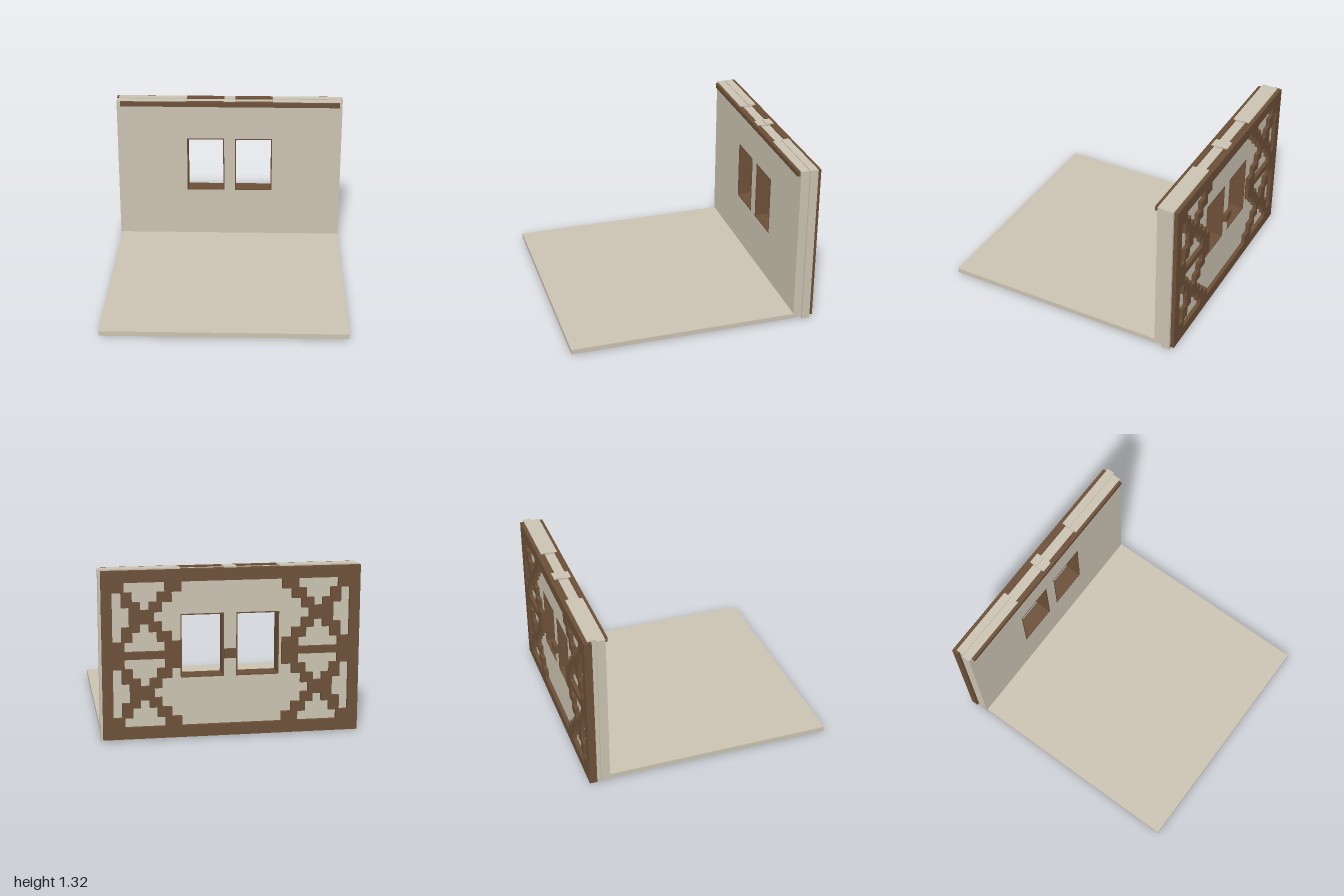
import * as THREE from 'three';

export function createModel() {
  const model = new THREE.Group();
  const plaster = new THREE.MeshStandardMaterial({ color: 0xcac2b1 });
  plaster.name = 'plaster';
  const wood = new THREE.MeshStandardMaterial({ color: 0x6b4f37 });
  wood.name = 'wood';

  const add = (name, geometry, material) => {
    const mesh = new THREE.Mesh(geometry, material);
    mesh.name = name;
    model.add(mesh);
    return mesh;
  };
  // Box given by its extents on each axis
  const box = (name, material, [x0, x1], [y0, y1], [z0, z1]) =>
    add(name, new THREE.BoxGeometry(x1 - x0, y1 - y0, z1 - z0), material)
      .position.set((x0 + x1) / 2, (y0 + y1) / 2, (z0 + z1) / 2);

  box('floor', plaster, [-0.985, 0.98], [0.01, 0.05], [-0.845, 1]);

  // Two wall layers, each of full-height columns with lower pieces around the windows
  const windows = [[-0.38, -0.05], [0.045, 0.375]];
  const sill = 0.475, head = 0.967;
  const wall = (name, xs, ys, zs) => {
    const columns = [[xs[0], windows[0][0]], [windows[0][1], windows[1][0]], [windows[1][1], xs[1]]];
    columns.forEach((c) => box(name + 'Column', plaster, c, ys, zs));
    windows.forEach((w) => {
      box(name + 'BelowWindow', plaster, w, [0.015, sill], zs);
      box(name + 'AboveWindow', plaster, w, [head, 1.3], zs);
    });
  };
  wall('innerWall', [-0.995, 0.975], [0.012, 1.313], [-0.904, -0.834]);
  wall('outerWall', [-0.98, 0.99], [0, 1.32], [-0.969, -0.904]);

  // Thin wooden linings of the window openings
  const rect = (Type, x0, x1, y0, y1) => new Type([
    [x0, y0], [x1, y0], [x1, y1], [x0, y1]].map((p) => new THREE.Vector2(...p)));
  windows.forEach(([x0, x1]) => {
    const t = 0.009;
    const frame = rect(THREE.Shape, x0, x1, sill, head);
    frame.holes.push(rect(THREE.Path, x0 + t, x1 - t, sill + t, head - t));
    const g = new THREE.ExtrudeGeometry(frame, { depth: 0.136, bevelEnabled: false });
    add('windowFrame', g, wood).position.z = -0.97;
  });

  // Rail along the top of the inner wall, and block between the windows
  box('topRail', wood, [-0.96, 0.96], [1.27, 1.31], [-0.855, -0.81]);
  box('mullionBlock', wood, [-0.05, 0.045], [0.62, 0.69], [-1, -0.94]);

  // Stepped lattice, measured from its middle; cells are counted from the outer top corner
  const halfW = 0.985, halfH = 0.648, cell = 0.0745, rowH = 0.0757;
  const toLattice = ([c, r]) => [halfW - 0.08 - c * cell, halfH - 0.09 - r * rowH];
  const mirrorRows = (pts) => pts.concat(pts.map(([c, r]) => [c, 7 - r]).reverse());
  const topGap = [[1.2, 0], [5.3, 0], [5.3, 1], [4.5, 1], [4.5, 2], [3.7, 2],
    [3.7, 2.8], [2.8, 2.8], [2.8, 2], [2, 2], [2, 1], [1.2, 1]];
  const bottomGap = topGap.map(([c, r]) => [c, 7 - r]);
  const sideGap = mirrorRows([[0, 1], [0.9, 1], [0.9, 2.5], [1.7, 2.5]]);
  const openEdge = mirrorRows([[7, 0], [7, 1], [6, 1], [6, 2], [5, 2], [5, 3], [4.2, 3]]);

  const lattice = rect(THREE.Shape, -halfW, halfW, -halfH, halfH);
  const hole = (pts) => lattice.holes.push(new THREE.Path(pts.map((p) => new THREE.Vector2(...p))));
  for (const sx of [-1, 1]) for (const sy of [-1, 1]) {
    for (const gap of [topGap, bottomGap, sideGap]) {
      hole(gap.map(toLattice).map(([x, y]) => [x * sx, y * sy]));
    }
  }
  // Large middle opening, with both sides stepped
  const upper = openEdge.map(toLattice);
  const side = upper.concat(upper.map(([x, y]) => [x, -y]).reverse());
  hole(side.concat(side.map(([x, y]) => [-x, y]).reverse()));

  const panel = new THREE.ExtrudeGeometry(lattice, { depth: 0.06, bevelEnabled: false });
  add('backLattice', panel, wood).position.set(-0.015, 0.662, -1);

  return model;
}
